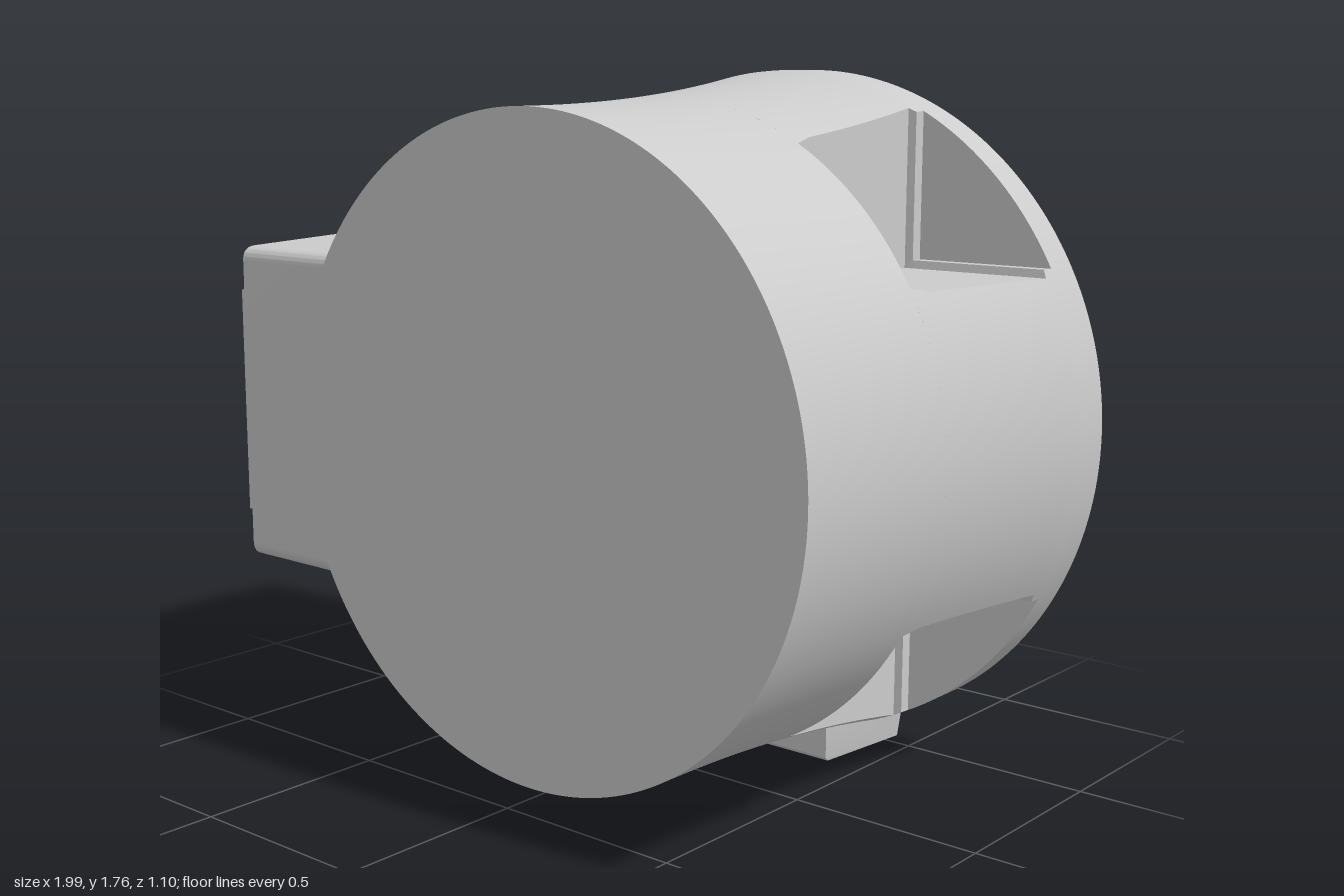
import * as THREE from 'three';
import { toCreasedNormals } from 'three/addons/utils/BufferGeometryUtils.js';

const CX = 0.12, CY = 0.89;           // axis of the drum
const material = new THREE.MeshStandardMaterial({ color: 0xcccccc });

function addMesh(group, name, geometry, crease = 0.5) {
  const mesh = new THREE.Mesh(toCreasedNormals(geometry, crease), material);
  mesh.name = name;
  group.add(mesh);
  return mesh;
}

// Prism with a (z, y) outline, spanning x from xMax down to xMin.
function sidePrism(shape, xMax, xMin, bevel = 0) {
  const g = new THREE.ExtrudeGeometry(shape, {
    depth: xMax - xMin - bevel, curveSegments: 16, bevelEnabled: bevel > 0,
    bevelSize: bevel, bevelThickness: bevel, bevelOffset: -bevel, bevelSegments: 3,
  });
  g.rotateY(-Math.PI / 2);
  g.translate(xMax, 0, 0);
  return g;
}

const outline = (pts) => new THREE.Shape(pts.map(([a, b]) => new THREE.Vector2(a, b)));

// Drum radius flares smoothly toward the back, then runs straight.
function drumRadius(z) {
  const t = Math.min(1, (0.55 - z) / 0.98);
  return 0.79 + 0.08 * Math.pow(t, 2.1);
}

// Ring of points; the four diagonal corners are cut where |dx| and |dy| both exceed a.
function drumRing(z, a, cut) {
  const R = drumRadius(z), pts = [], N1 = 16, N2 = 14;
  const edge = Math.asin(a / R);
  const octant = [];
  for (let i = 0; i < N1; i++) octant.push(edge * i / N1);
  for (let i = 0; i <= N2; i++) octant.push(edge + (Math.PI / 4 - edge) * i / N2);
  const quarter = [...octant, ...octant.slice(1, -1).reverse().map((t) => Math.PI / 2 - t)];
  for (let q = 0; q < 4; q++) {
    for (const t of quarter) {
      const limit = a / Math.max(1e-6, Math.min(Math.sin(t), Math.cos(t)));
      const r = cut ? Math.min(R, limit) : R;
      const ang = t + q * Math.PI / 2;
      pts.push(new THREE.Vector3(CX + r * Math.cos(ang), CY + r * Math.sin(ang), z));
    }
  }
  return pts;
}

function drumGeometry() {
  const A = 0.385, B = 0.405, rings = [];
  for (let i = 0; i <= 10; i++) rings.push(drumRing(0.55 - 0.049 * i, A, false));
  // corner pockets: front wall, floor, shallow step, back wall
  for (let i = 0; i <= 8; i++) rings.push(drumRing(0.06 - 0.0594 * i, i ? A : A + 0.012, true));
  rings.push(drumRing(-0.42, B, true), drumRing(-0.452, B, true));
  rings.push(drumRing(-0.452, B, false), drumRing(-0.55, B, false));

  const pos = [];
  const tri = (a, b, c) => {
    const area = b.clone().sub(a).cross(c.clone().sub(a)).length();
    if (area > 1e-8) for (const p of [a, b, c]) pos.push(p.x, p.y, p.z);
  };
  const front = new THREE.Vector3(CX, CY, 0.55), back = new THREE.Vector3(CX, CY, -0.55);
  const n = rings[0].length, last = rings[rings.length - 1];
  for (let j = 0; j < n; j++) {
    const k = (j + 1) % n;
    tri(front, rings[0][j], rings[0][k]);
    tri(back, last[k], last[j]);
    for (let i = 0; i < rings.length - 1; i++) {
      const p = rings[i], q = rings[i + 1];
      tri(p[j], q[j], q[k]);
      tri(p[j], q[k], p[k]);
    }
  }
  const g = new THREE.BufferGeometry();
  g.setAttribute('position', new THREE.Float32BufferAttribute(pos, 3));
  return g;
}

export function createModel() {
  const group = new THREE.Group();
  addMesh(group, 'drum', drumGeometry());

  // side housing, slightly tapered toward the front, with rounded front edges
  const housing = new THREE.Shape();
  housing.moveTo(-0.53, 0.43);
  housing.lineTo(0.46, 0.475);
  housing.quadraticCurveTo(0.5, 0.477, 0.5, 0.515);
  housing.lineTo(0.5, 1.27);
  housing.quadraticCurveTo(0.5, 1.305, 0.46, 1.307);
  housing.lineTo(-0.53, 1.35);
  addMesh(group, 'sideHousing', sidePrism(housing, -0.6, -0.945));

  // outer panel with the four corners notched out
  addMesh(group, 'sidePanel', sidePrism(outline([
    [-0.41, 0.445], [0.38, 0.475], [0.38, 0.57], [0.41, 0.6], [0.49, 0.6],
    [0.49, 1.19], [0.41, 1.19], [0.38, 1.22], [0.38, 1.305], [-0.41, 1.34],
    [-0.41, 1.24], [-0.44, 1.21], [-0.525, 1.21], [-0.525, 0.59], [-0.44, 0.59], [-0.41, 0.56],
  ]), -0.94, -0.968));

  // small pads in the notched corners
  for (const [z, y] of [[-0.46, 1.28], [-0.46, 0.51], [0.44, 1.25], [0.44, 0.53]]) {
    const pad = new THREE.CylinderGeometry(0.04, 0.04, 0.03, 24).rotateZ(Math.PI / 2);
    addMesh(group, 'cornerPad', pad).position.set(-0.945, y, z);
  }

  // bridges joining the housing to the drum before and behind the pockets
  addMesh(group, 'frontBridge', sidePrism(outline([
    [0.06, 0.457], [0.46, 0.475], [0.5, 0.515], [0.5, 1.27], [0.46, 1.307], [0.06, 1.324],
  ]), -0.4, -0.61));
  addMesh(group, 'rearBridge', sidePrism(outline([
    [-0.55, 0.33], [-0.452, 0.35], [-0.452, 1.345], [-0.55, 1.35],
  ]), -0.35, -0.61));

  // rear plate and the sloping rib under the housing
  addMesh(group, 'rearPlate', sidePrism(outline([
    [-0.55, 0.33], [-0.5, 0.34], [-0.5, 1.348], [-0.55, 1.35],
  ]), -0.6, -0.91));
  addMesh(group, 'lowerRib', sidePrism(outline([
    [-0.55, 0.33], [-0.2, 0.37], [0.46, 0.475], [0.3, 0.6], [-0.55, 0.6],
  ]), -0.57, -0.91));

  // oval button on the side panel
  const oval = new THREE.Shape();
  oval.absarc(0.335, 1.1, 0.095, 0, Math.PI);
  oval.absarc(0.335, 0.92, 0.095, Math.PI, Math.PI * 2);
  addMesh(group, 'ovalButton', sidePrism(oval, -0.96, -1.0, 0.008));

  // foot block with a sloping underside and drafted sides
  const foot = sidePrism(outline([
    [-0.55, 0.003], [-0.215, 0.028], [-0.2, 0.04], [-0.19, 0.125], [-0.55, 0.125],
  ]), 0.45, -0.21);
  const p = foot.attributes.position;
  for (let i = 0; i < p.count; i++) {
    const draft = 1 - 0.06 * Math.max(0, 0.06 - p.getY(i)) / 0.06;
    p.setX(i, CX + (p.getX(i) - CX) * draft);
  }
  addMesh(group, 'foot', foot);

  return group;
}
